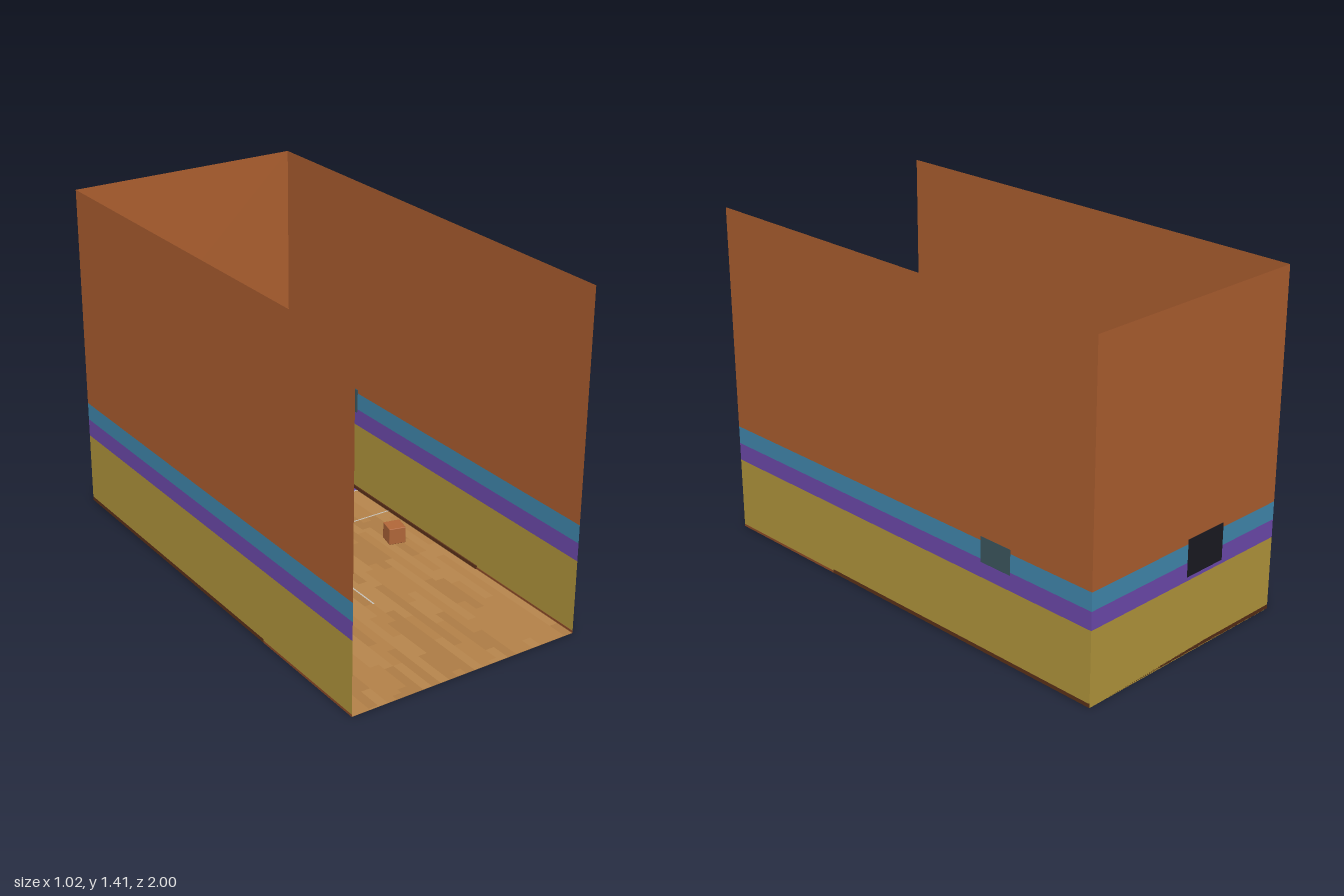
import * as THREE from 'three';
import { mergeGeometries } from 'three/addons/utils/BufferGeometryUtils.js';
import { RoundedBoxGeometry } from 'three/addons/geometries/RoundedBoxGeometry.js';

const W = 0.51, L = 1, H = 1.412;
const BLUE = 0x3f85aa, PURPLE = 0x6a48a8, ORANGE = 0xa85c2e, YELLOW = 0xae923a;
const WHITE = 0xc8c4bc, DARK = 0x1c1c24, BROWN = 0x5a3018;
const BOTH = THREE.DoubleSide;

function add(parent, name, geo, color, x = 0, y = 0, z = 0, side = THREE.FrontSide) {
  const m = new THREE.Mesh(geo, new THREE.MeshStandardMaterial({ color, side }));
  m.name = name;
  m.position.set(x, y, z);
  parent.add(m);
  return m;
}

function group(parent, name, x = 0, y = 0, z = 0) {
  const g = new THREE.Group();
  g.name = name;
  g.position.set(x, y, z);
  parent.add(g);
  return g;
}

const box = (w, h, d) => new THREE.BoxGeometry(w, h, d);
// Lay a shape drawn in xy down on the floor, facing up
const flat = (geo) => geo.rotateX(-Math.PI / 2);

// Thin rod between two points
const rod = (a, b, r) => new THREE.TubeGeometry(new THREE.LineCurve3(a, b), 1, r, 5);

// Three thin walls painted in horizontal bands, the back one a little lighter
function buildWalls(root) {
  const bands = [['lower', 0, 0.312, YELLOW], ['purpleStripe', 0.312, 0.388, PURPLE],
    ['blueStripe', 0.388, 0.464, BLUE], ['upper', 0.464, H, ORANGE]];
  const walls = [['backWall', 2 * W, 0, -L, 0, 1.18], ['leftWall', 2 * L, W, 0, -Math.PI / 2, 1],
    ['rightWall', 2 * L, -W, 0, Math.PI / 2, 1]];
  for (const [name, width, x, z, turn, light] of walls) {
    const g = group(root, name, x, 0, z);
    g.rotation.y = turn;
    for (const [band, y0, y1, color] of bands) {
      add(g, band, new THREE.PlaneGeometry(width, y1 - y0), new THREE.Color(color).multiplyScalar(light),
        0, (y0 + y1) / 2, 0, BOTH);
    }
  }
  // Skirting: dark around the court, a lower and lighter strip near the open end
  add(root, 'backSkirting', box(2 * W, 0.018, 0.006), BROWN, 0, 0.009, -L + 0.003);
  for (const s of [-1, 1]) {
    add(root, 'sideSkirting', box(0.006, 0.016, 1.41), BROWN, s * (W - 0.0025), 0.008, -0.295);
    add(root, 'frontSkirting', box(0.002, 0.01, 0.59), 0x8a4a26, s * (W - 0.0005), 0.005, 0.705);
  }
}

// Floor of staggered planks in three close tones, with a dark underside
function buildFloor(root) {
  const g = group(root, 'floor');
  const tones = [0xb6834a, 0xb07e46, 0xba884e], sets = [[], [], []];
  const rows = 26, w = (2 * W) / rows;
  let seed = 7;
  const rnd = () => (seed = (seed * 16807) % 2147483647) / 2147483647;
  for (let i = 0; i < rows; i++) {
    let z = -L;
    while (z < L) {
      const end = Math.min(L, z + 0.12 + 0.2 * rnd());
      const plank = flat(new THREE.PlaneGeometry(w, end - z));
      plank.translate(-W + (i + 0.5) * w, 0.001, (z + end) / 2);
      sets[Math.floor(rnd() * 3)].push(plank);
      z = end;
    }
  }
  sets.forEach((s, i) => add(g, 'planks', mergeGeometries(s), tones[i], 0, 0, 0, BOTH));
  add(g, 'underside', flat(new THREE.PlaneGeometry(2 * W, 2 * L)), 0x7c5632, 0, 0, 0, BOTH);
}

// Painted court areas and lines
function buildMarkings(root) {
  const g = group(root, 'courtMarkings');
  const y = 0.003, t = 0.007, hz = -0.525;
  const paint = (name, geo, color, x, h, z) => add(g, name, flat(geo), color, x, h, z, BOTH);
  const line = (name, w, d, x, z) => paint(name, new THREE.PlaneGeometry(w, d), WHITE, x, y, z);
  const arc = (name, r, x, z, start, sweep) =>
    paint(name, new THREE.RingGeometry(r - t / 2, r + t / 2, 64, 1, start, sweep), WHITE, x, y, z);
  paint('centreCircle', new THREE.CircleGeometry(0.217, 64), PURPLE, 0, 0.002, -0.165);
  arc('centreCircleLine', 0.217, 0, -0.165, 0, Math.PI * 2);
  line('centreLine', t, 1.4, 0, -0.29);
  line('baseline', 2 * W, t, 0, -0.915);
  paint('keyArea', new THREE.PlaneGeometry(W - 0.285, 0.18), PURPLE, (W + 0.285) / 2, 0.002, hz);
  line('freeThrowLine', t, 0.18, 0.287, hz);
  for (const s of [-1, 1]) {
    line('keySideLine', W - 0.285, t, (W + 0.285) / 2, hz + s * 0.09);
    line('cornerLine', W - 0.295, t, (W + 0.295) / 2, hz + s * 0.325);
  }
  arc('freeThrowArc', 0.068, 0.285, hz, Math.PI / 2, Math.PI);
  const a = Math.atan2(0.325, 0.145);
  arc('outerArc', 0.355, 0.44, hz, Math.PI - a, 2 * a);
}

// Backboard set through the left wall, with rim and net
function buildHoop(root) {
  const g = group(root, 'hoop', 0.442, 0.395, -0.525);
  const bx = W - 0.442;
  add(g, 'backboard', box(0.007, 0.106, 0.153), 0x3a545c, bx - 0.003, 0.033, 0);
  for (const s of [-1, 1]) {
    add(g, 'targetSide', box(0.002, 0.042, 0.004), WHITE, bx - 0.0066, 0.03, s * 0.03);
    add(g, 'targetBar', box(0.002, 0.004, 0.064), WHITE, bx - 0.0066, 0.03 + s * 0.021, 0);
  }
  add(g, 'bracket', box(0.018, 0.008, 0.03), 0x5a2c1c, 0.055, 0, 0);
  add(g, 'rim', new THREE.TorusGeometry(0.047, 0.0035, 8, 32).rotateX(Math.PI / 2), 0x5a2c1c);
  const n = 14, levels = [[0.046, 0], [0.042, -0.013], [0.038, -0.026], [0.034, -0.039]];
  const pt = (k, i) => {
    const [r, y] = levels[k], a = ((i + k / 2) / n) * Math.PI * 2;
    return new THREE.Vector3(r * Math.cos(a), y, r * Math.sin(a));
  };
  const cords = [];
  for (let k = 0; k < 3; k++) {
    for (let i = 0; i < n; i++) {
      cords.push(rod(pt(k, i), pt(k + 1, i), 0.001), rod(pt(k, i), pt(k + 1, i - 1), 0.001));
    }
  }
  add(g, 'net', mergeGeometries(cords), 0x5c4a48, 0, 0, 0, BOTH);
}

// Ball with three dark seams
function buildBall(parent, color, x, y, z, turn = 0) {
  const r = 0.0175, g = group(parent, 'ball', x, y, z);
  g.rotation.set(0.3, turn, 0.2);
  add(g, 'ballBody', new THREE.SphereGeometry(r, 20, 14), color);
  for (const [rx, ry] of [[0, 0], [Math.PI / 2, 0], [0, Math.PI / 2]]) {
    add(g, 'seam', new THREE.TorusGeometry(r, 0.0007, 5, 28), 0x2a1a14).rotation.set(rx, ry, 0);
  }
}

// Two-tier ball rack against the back wall
function buildRack(root) {
  const g = group(root, 'ballRack', 0.25, 0, -0.96);
  for (const x of [-0.081, 0.081]) {
    for (const z of [-0.013, 0.013]) add(g, 'post', box(0.006, 0.125, 0.005), DARK, x, 0.0625, z);
    for (const y of [0.024, 0.078, 0.122]) add(g, 'endBar', box(0.006, 0.005, 0.026), DARK, x, y, 0);
  }
  for (const y of [0.024, 0.078, 0.122]) {
    for (const z of [-0.013, 0.013]) add(g, 'rail', box(0.165, 0.006, 0.005), DARK, 0, y, z);
  }
  const colors = [[0x8e4a22, PURPLE, 0xb0602c, 0x8e4a22], [0xa84a28, 0xb0602c, BLUE, 0x8e4a22]];
  colors.forEach((row, k) => row.forEach((c, i) =>
    buildBall(g, c, -0.059 + i * 0.039, k ? 0.096 : 0.042, 0, i * 0.8 + k)));
}

// Framed display panel, its back just showing through the back wall
function buildScoreboard(root) {
  const g = group(root, 'scoreboard', -0.104, 0.405, -0.995);
  add(g, 'frame', box(0.2, 0.155, 0.011), DARK);
  add(g, 'trim', box(0.18, 0.135, 0.002), 0x44485c, 0, 0, 0.0055);
  add(g, 'screen', box(0.176, 0.131, 0.002), 0x2a2c40, 0, 0, 0.0062);
}

export function createModel() {
  const root = new THREE.Group();
  root.name = 'sportsHall';
  buildFloor(root);
  buildMarkings(root);
  buildWalls(root);
  buildHoop(root);
  buildRack(root);
  buildScoreboard(root);
  buildBall(root, 0xa8521f, 0.19, 0.0185, -0.71, 0.5);

  // Stacked mats in the back corner
  for (let i = 0; i < 3; i++) {
    const m = add(root, 'mat', new RoundedBoxGeometry(0.146, 0.0135, 0.09, 2, 0.003), BLUE,
      0.426, 0.008 + i * 0.0145, -0.947);
    m.rotation.y = (i - 1) * 0.015;
  }

  // Soft play blocks
  const blocks = [[BLUE, 0.084, -0.409, 0.03, 0.14], [PURPLE, 0.047, -0.328, 0.063, -0.22],
    [0xb4683a, 0.073, 0.374, 0.025, -0.24]];
  for (const [color, s, x, z, turn] of blocks) {
    add(root, 'softBlock', new RoundedBoxGeometry(s, s, s, 2, s * 0.04), color, x, s / 2 + 0.001, z).rotation.y = turn;
  }
  return root;
}
